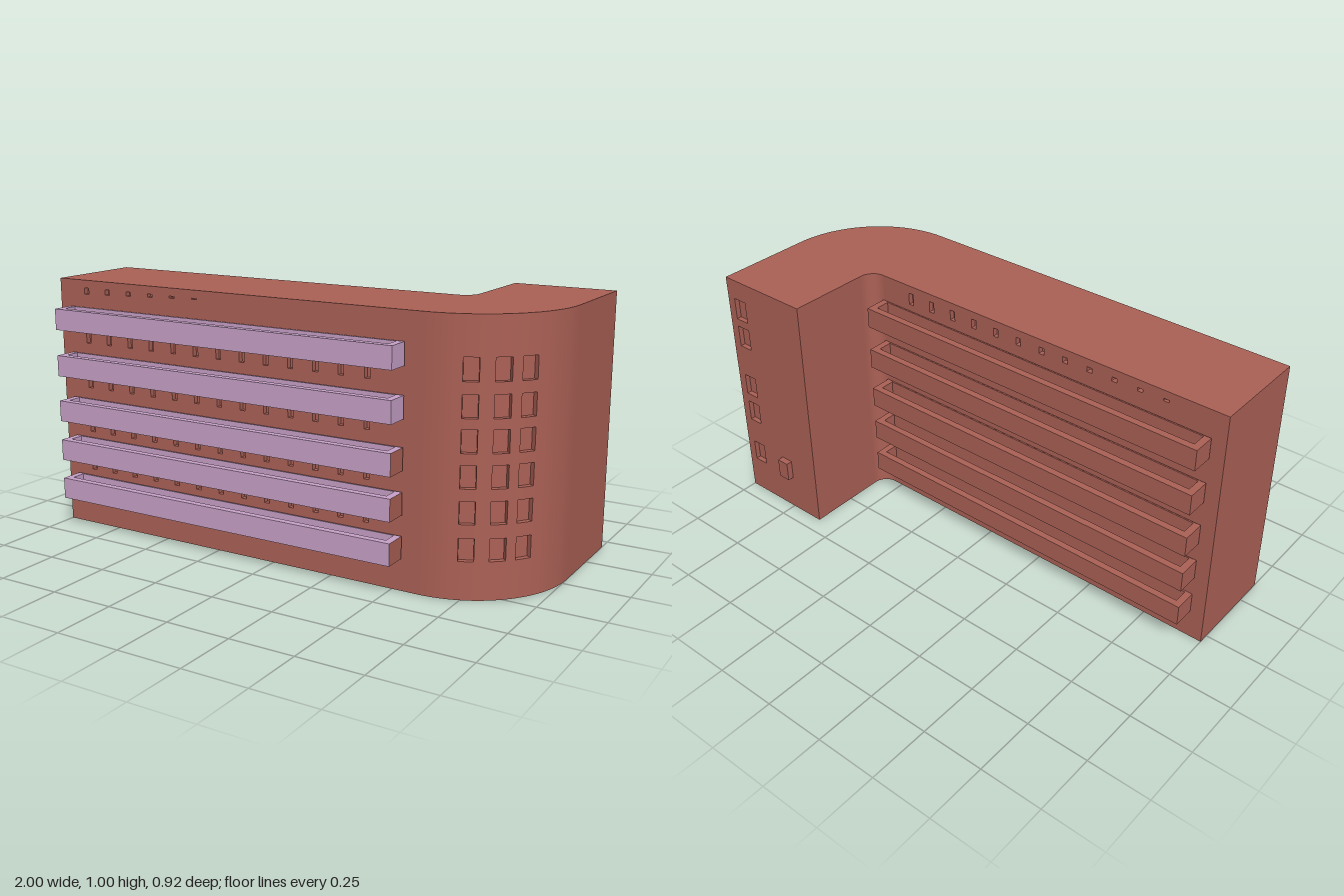
import * as THREE from 'three';
import { toCreasedNormals } from 'three/addons/utils/BufferGeometryUtils.js';

const brick = new THREE.MeshStandardMaterial({ color: 0xac6156 });
const lilac = new THREE.MeshStandardMaterial({ color: 0xc8a2c8 });
const H = 1, RECESS = 0.02;

// Straight and curved wall paths: t in 0..1 -> position and outward normal in plan
function linePath(x0, z0, x1, z1) {
  const len = Math.hypot(x1 - x0, z1 - z0);
  const nx = -(z1 - z0) / len, nz = (x1 - x0) / len;
  return (t) => ({ x: x0 + (x1 - x0) * t, z: z0 + (z1 - z0) * t, nx, nz });
}
function outerArc(t) {
  const a = t * Math.PI / 2, s = Math.sin(a), c = Math.cos(a);
  return { x: 0.6 + 0.4 * s, z: -0.04 + 0.4 * c, nx: s, nz: c };
}
function innerArc(t) {
  const a = t * Math.PI / 2, s = Math.sin(a), c = Math.cos(a);
  return { x: 0.54 + 0.06 * c, z: -0.1 + 0.06 * s, nx: -c, nz: -s };
}

// Wall surface with recessed windows, each window being [t0, t1, y0, y1]
function wallGeometry(path, steps, windows) {
  const breaks = (values) => values.sort((a, b) => a - b).filter((v, i, l) => i === 0 || v - l[i - 1] > 1e-5);
  const us = [], vs = [0, H];
  for (let i = 0; i <= steps; i++) us.push(i / steps);
  for (const [a, b, c, d] of windows) { us.push(a, b); vs.push(c, d); }
  const U = breaks(us), V = breaks(vs), pos = [];
  const at = (i, j, depth) => {
    const p = path(U[i]);
    return [p.x - p.nx * depth, V[j], p.z - p.nz * depth];
  };
  const quad = (a, b, c, d) => pos.push(...a, ...b, ...c, ...a, ...c, ...d);
  const open = (i, j) => {
    if (i < 0 || j < 0 || i >= U.length - 1 || j >= V.length - 1) return false;
    const u = (U[i] + U[i + 1]) / 2, v = (V[j] + V[j + 1]) / 2;
    return windows.some(([a, b, c, d]) => u > a && u < b && v > c && v < d);
  };
  for (let i = 0; i < U.length - 1; i++) {
    for (let j = 0; j < V.length - 1; j++) {
      const hole = open(i, j), R = RECESS, k = i + 1, l = j + 1;
      const d = hole ? R : 0;
      quad(at(i, j, d), at(k, j, d), at(k, l, d), at(i, l, d));
      if (!hole) continue;
      // window reveals
      if (!open(i - 1, j)) quad(at(i, j, 0), at(i, j, R), at(i, l, R), at(i, l, 0));
      if (!open(k, j)) quad(at(k, j, R), at(k, j, 0), at(k, l, 0), at(k, l, R));
      if (!open(i, j - 1)) quad(at(i, j, 0), at(k, j, 0), at(k, j, R), at(i, j, R));
      if (!open(i, l)) quad(at(i, l, R), at(k, l, R), at(k, l, 0), at(i, l, 0));
    }
  }
  const g = new THREE.BufferGeometry();
  g.setAttribute('position', new THREE.Float32BufferAttribute(pos, 3));
  return toCreasedNormals(g, 0.3);
}

function addMesh(parent, name, geometry, material = brick) {
  const mesh = new THREE.Mesh(geometry, material);
  mesh.name = name;
  parent.add(mesh);
  return mesh;
}

function addBox(parent, name, x0, x1, y0, y1, z0, z1, material) {
  const g = new THREE.BoxGeometry(x1 - x0, y1 - y0, z1 - z0);
  g.translate((x0 + x1) / 2, (y0 + y1) / 2, (z0 + z1) / 2);
  return addMesh(parent, name, g, material);
}

// Small windows between the balconies; the top row dwindles along the wall
function smallWindows(toT, back) {
  const list = [];
  const put = (x, y0, y1) => {
    const a = toT(x - 0.011), b = toT(x + 0.011);
    list.push([Math.min(a, b), Math.max(a, b), y0, y1]);
  };
  for (let i = 0; i < 13; i++) {
    const x = -0.866 + i * 0.105;
    for (const y of [0.229, 0.388, 0.569, 0.75]) put(x, y, y + 0.043);
    if (!back && i < 6) put(x, 0.945 + i * 0.004, 0.969);
    if (back && i > 0) put(x, 0.962 - i * 0.0035, 0.968);
  }
  return list;
}

// Open-topped balcony trough; s = +1 projects to the front, -1 to the back
function balcony(name, y0, y1, zWall, s, main, ends) {
  const group = new THREE.Group();
  group.name = name;
  const zOut = zWall + s * 0.09;
  const span = (a, b) => [Math.min(a, b), Math.max(a, b)];
  const x0 = -0.945, x1 = 0.54, e = 0.027, t = 0.015;
  addBox(group, 'balconyFloor', x0 + e, x1 - e, y0, y0 + t, ...span(zWall, zOut - s * e), main);
  addBox(group, 'balconyParapet', x0 + e, x1 - e, y0, y1, ...span(zOut - s * e, zOut), main);
  addBox(group, 'balconyBackPanel', x0 + e, x1 - e, y0 + t, y1, ...span(zWall, zWall + s * 0.006), main);
  addBox(group, 'balconyEndLeft', x1 - e, x1, y0, y1, ...span(zWall, zOut), [ends, main, main, main, main, main]);
  addBox(group, 'balconyEndRight', x0, x0 + e, y0, y1, ...span(zWall, zOut), [main, brick, main, main, main, main]);
  return group;
}

export function createModel() {
  const model = new THREE.Group();
  model.name = 'apartmentBlock';

  // Window layouts for the curved corner and the wing's rear wall
  const cornerWindows = [];
  for (const [a, b] of [[20.5, 28.4], [36, 44.4], [49.7, 58.2]])
    for (const y of [0.142, 0.275, 0.402, 0.526, 0.647, 0.773])
      cornerWindows.push([a / 90, b / 90, y, y + 0.083]);
  const wingWindows = [0.15, 0.352, 0.48, 0.705, 0.828].map((y) => [0.09, 0.24, y, y + 0.09]);

  // Walls, in order around the footprint
  const walls = [
    ['frontWall', linePath(-1, 0.36, 0.6, 0.36), 1, smallWindows((x) => (x + 1) / 1.6, false)],
    ['curvedCornerWall', outerArc, 30, cornerWindows],
    ['wingOuterWall', linePath(1, -0.04, 1, -0.435), 1, []],
    ['wingRearWall', linePath(1, -0.435, 0.6, -0.435), 1, wingWindows],
    ['wingInnerWall', linePath(0.6, -0.435, 0.6, -0.1), 1, []],
    ['innerCornerWall', innerArc, 10, []],
    ['backWall', linePath(0.54, -0.04, -1, -0.04), 1, smallWindows((x) => (0.54 - x) / 1.54, true)],
    ['endWall', linePath(-1, -0.04, -1, 0.36), 1, []],
  ];
  const outline = [];
  for (const [name, path, steps, windows] of walls) {
    addMesh(model, name, wallGeometry(path, steps, windows));
    for (let i = 0; i < steps; i++) outline.push(path(i / steps));
  }

  // Roof and underside from the same footprint
  const cap = (sign) => new THREE.ShapeGeometry(
    new THREE.Shape(outline.map((p) => new THREE.Vector2(p.x, sign * p.z)))).rotateX(sign * Math.PI / 2);
  addMesh(model, 'roof', cap(-1)).position.y = H;
  addMesh(model, 'underside', cap(1));

  // Balconies on both long sides
  [0.123, 0.283, 0.443, 0.626, 0.811].forEach((y, i) => {
    model.add(balcony('frontBalcony', y, y + 0.083, 0.368, 1, lilac, i > 2 ? lilac : brick));
    model.add(balcony('backBalcony', y, y + 0.083, -0.044, -1, brick, brick));
  });

  // Projecting box window on the wing
  addBox(model, 'boxWindow', 0.738, 0.79, 0.155, 0.236, -0.46, -0.43, brick);
  return model;
}
